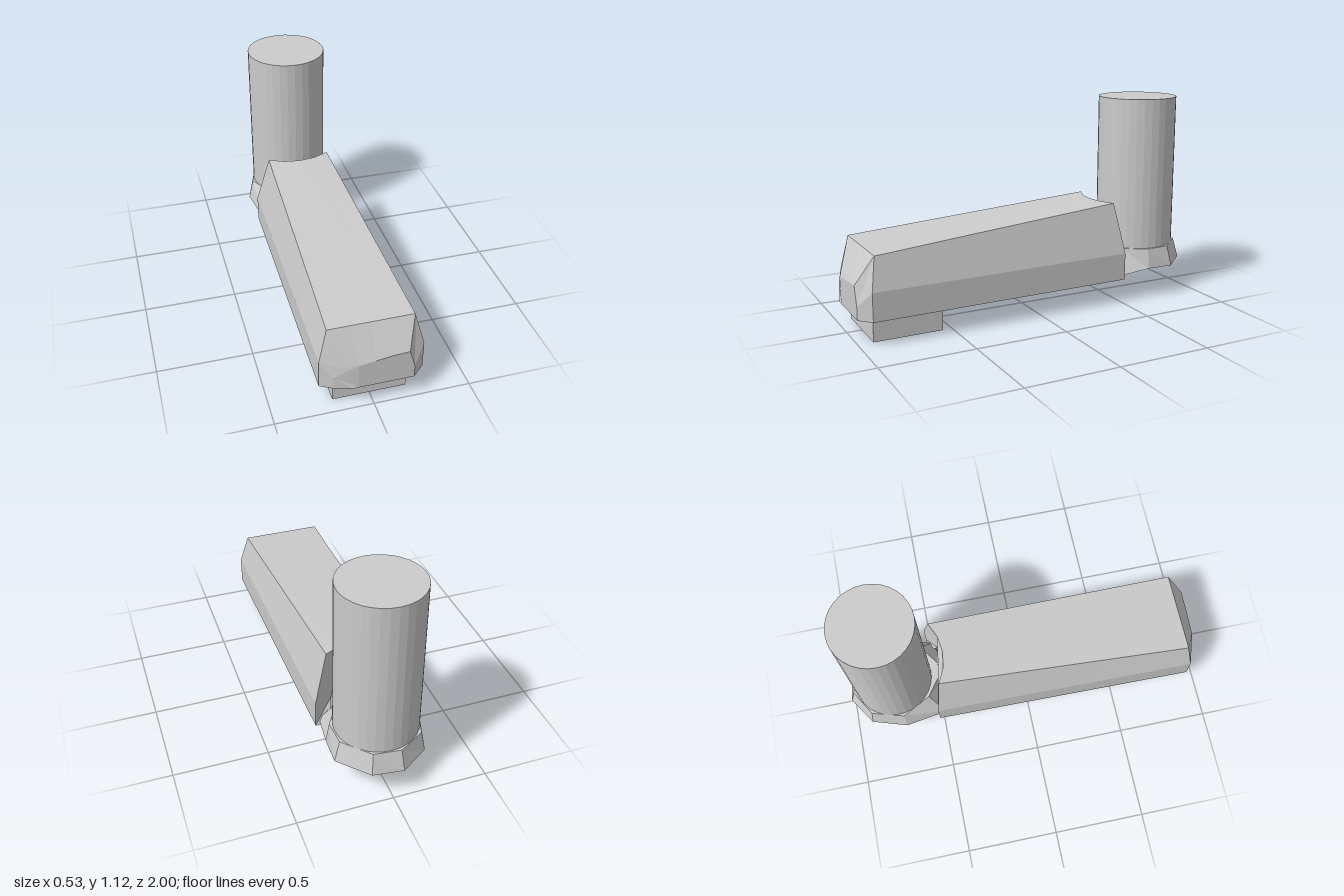
import * as THREE from 'three';

const material = new THREE.MeshStandardMaterial({ color: 0xcccccc, flatShading: true });
const POST_Z = -0.738, POST_R = 0.218;

function addPart(group, name, geometry) {
  const mesh = new THREE.Mesh(geometry, material);
  mesh.name = name;
  group.add(mesh);
  return mesh;
}

// Joins closed rings of [x, y, z] points; capped ends are filled in the xy plane
function loft(rings, capped) {
  const n = rings[0].length, index = [];
  for (let i = 0; i < rings.length - 1; i++) {
    for (let j = 0; j < n; j++) {
      const k = (j + 1) % n;
      const a = i * n + j, b = i * n + k, c = b + n, d = a + n;
      index.push(a, d, c, a, c, b);
    }
  }
  if (capped) {
    for (const [i, facing] of [[0, -1], [rings.length - 1, 1]]) {
      const flat = rings[i].map(p => new THREE.Vector2(p[0], p[1]));
      for (const [a, b, c] of THREE.ShapeUtils.triangulateShape(flat, [])) {
        const turn = flat[b].clone().sub(flat[a]).cross(flat[c].clone().sub(flat[a]));
        const tri = turn * facing > 0 ? [a, b, c] : [a, c, b];
        index.push(...tri.map(v => v + i * n));
      }
    }
  }
  const geometry = new THREE.BufferGeometry();
  geometry.setAttribute('position', new THREE.Float32BufferAttribute(rings.flat(2), 3));
  geometry.setIndex(index);
  const result = geometry.toNonIndexed();
  result.computeVertexNormals();
  return result;
}

// Cross-section of the arm: sides, roof and the channel underneath
function armSection(z, side, top, roof, channelX, channelY) {
  return [
    [-side, 0.13, z], [-side, 0.28, z],
    ...[-1, -0.5, 0, 0.5, 1].map(t => [t * top, roof, z]),
    [side, 0.28, z], [side, 0.13, z],
    [channelX + 0.03, 0.13, z], [channelX, channelY, z],
    [-channelX, channelY, z], [-channelX - 0.03, 0.13, z],
  ];
}

function armGeometry() {
  // Back end, hollowed to clear the post
  const back = armSection(-0.52, 0.245, 0.175, 0.555, 0.14, 0.25);
  for (let j = 2; j <= 6; j++) {
    back[j][2] = POST_Z + Math.sqrt(0.308 ** 2 - back[j][0] ** 2) + 0.1 * Math.abs(back[j][0]) ** 2;
  }
  back[10][2] = back[11][2] = -0.46;
  const at = (z, cx, cy) => {
    const t = (z + 0.46) / 1.37;
    return armSection(z, 0.245 + 0.02 * t, 0.175 + 0.045 * t, 0.555 - 0.105 * t, cx, cy);
  };
  const shoulder = at(0.91, 0.08, 0.13);
  shoulder.forEach(p => { if (p[1] < 0.4) p[2] = 0.94; });
  // Nose, slightly lopsided
  const nose = armSection(1, 0.2, 0.17, 0.3, 0.08, 0.13);
  nose.forEach(p => {
    if (p[1] === 0.28) p[1] = 0.2;
    if (p[1] === 0.3) p[1] = 0.28 + 0.14 * Math.min(p[0] + 0.02, 0.14);
    if (p[0] < -0.15) p[2] = 0.975;
  });
  return loft([back, at(0.36, 0.14, 0.25), at(0.44, 0.09, 0.25), at(0.52, 0.08, 0.13), shoulder, nose], true);
}

// Faceted collar around the foot of the post, recessed underneath
function collarGeometry() {
  const outline = [
    [0.245, -0.68], [0.215, -0.48], [0, -0.43], [-0.215, -0.48], [-0.26, -0.71],
    [-0.2, -0.9], [-0.05, -1], [0.11, -0.98], [0.25, -0.83],
  ];
  const round = (r, y) => outline.map(([x, z]) => {
    const a = Math.atan2(z - POST_Z, x);
    return [r * Math.cos(a), y, POST_Z + r * Math.sin(a)];
  });
  const rim = outline.map(([x, z]) => [x, z > -0.6 ? 0.14 : 0.17, z]);
  const top = round(0.235, 0.28);
  top[2][2] = -0.45;
  return loft([round(0.09, 0.28), round(0.15, 0.17), rim, top, round(0.1, 0.28)], false);
}

// Square foot with a six-sided hole
function footGeometry() {
  const shape = new THREE.Shape([[-0.19, -0.185], [0.19, -0.185], [0.19, 0.185], [-0.19, 0.185]]
    .map(p => new THREE.Vector2(...p)));
  const hole = new THREE.Path();
  hole.setFromPoints(Array.from({ length: 6 }, (_, i) =>
    new THREE.Vector2(0.045 * Math.cos(i * Math.PI / 3), 0.045 * Math.sin(i * Math.PI / 3))));
  shape.holes.push(hole);
  return new THREE.ExtrudeGeometry(shape, { depth: 0.135, bevelEnabled: false }).rotateX(-Math.PI / 2);
}

export function createModel() {
  const group = new THREE.Group();
  group.name = 'crankArm';
  addPart(group, 'arm', armGeometry());
  addPart(group, 'collar', collarGeometry());
  addPart(group, 'post', new THREE.CylinderGeometry(POST_R, POST_R, 0.84, 32)).position.set(0, 0.7, POST_Z);
  addPart(group, 'pin', new THREE.CylinderGeometry(0.052, 0.052, 0.19, 8)).position.set(0, 0.19, POST_Z);
  addPart(group, 'foot', footGeometry()).position.set(0, 0, 0.735);
  return group;
}
